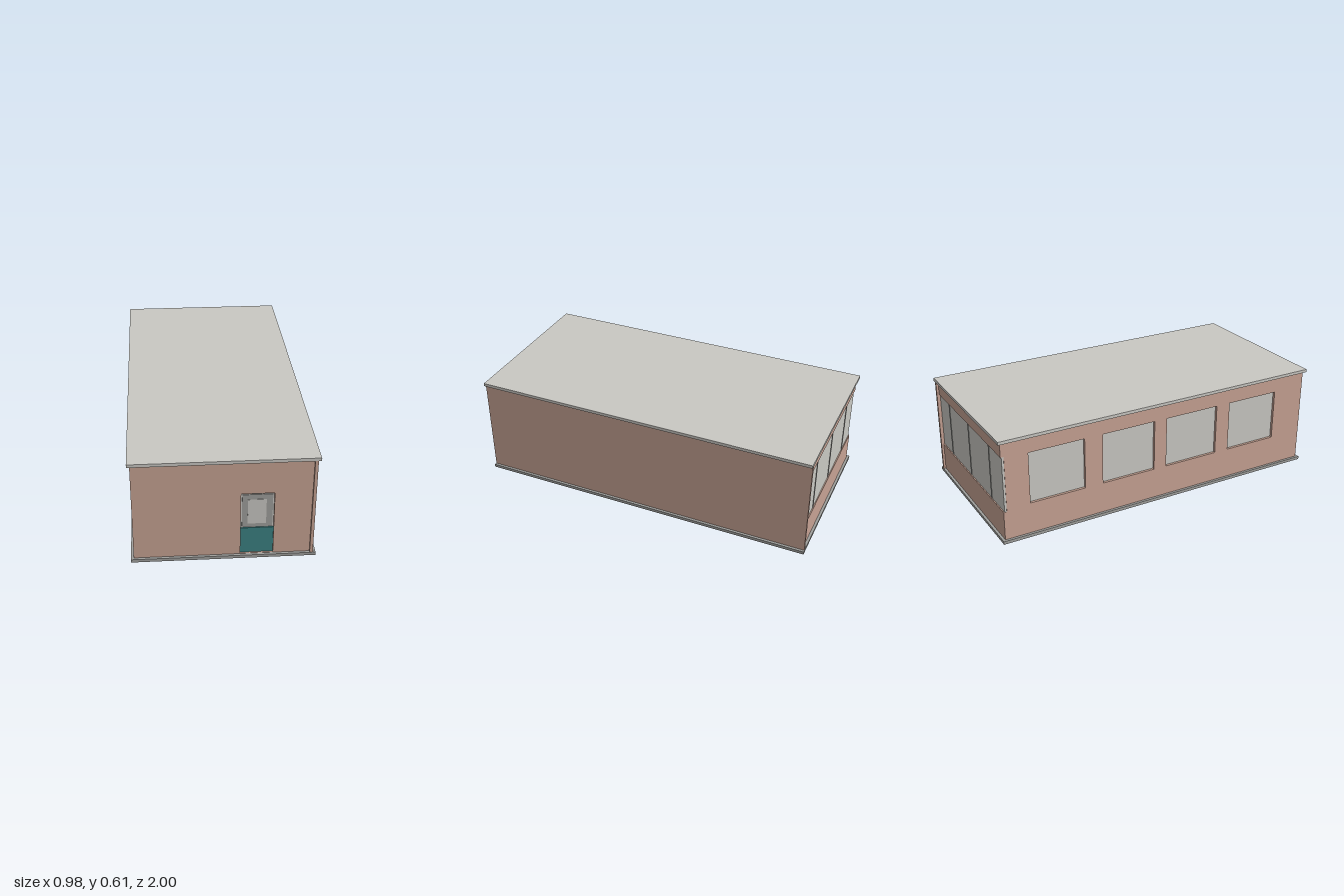
import * as THREE from 'three';

const mat = (name, color) => {
  const m = new THREE.MeshStandardMaterial({ color });
  m.name = name;
  return m;
};

export function createModel() {
  const model = new THREE.Group();
  model.name = 'building';
  const brick = mat('brick', 0xc6a293);
  const pale = mat('paleGrey', 0xc9c8c3);
  const grey = mat('midGrey', 0x9f9f9c);
  const teal = mat('teal', 0x3b8082);

  // Box given by its minimum and maximum on each axis
  const box = (name, m, x0, x1, y0, y1, z0, z1, parent = model) => {
    const mesh = new THREE.Mesh(new THREE.BoxGeometry(x1 - x0, y1 - y0, z1 - z0), m);
    mesh.position.set((x0 + x1) / 2, (y0 + y1) / 2, (z0 + z1) / 2);
    mesh.name = name;
    parent.add(mesh);
    return mesh;
  };

  const rect = (P, x0, x1, y0, y1) => {
    const p = new P();
    p.moveTo(x0, y0).lineTo(x1, y0).lineTo(x1, y1).lineTo(x0, y1).closePath();
    return p;
  };

  // Wall panel with rectangular openings
  const wall = (name, outline, openings, thickness) => {
    const shape = rect(THREE.Shape, ...outline);
    openings.forEach(o => shape.holes.push(rect(THREE.Path, ...o)));
    const mesh = new THREE.Mesh(
      new THREE.ExtrudeGeometry(shape, { depth: thickness, bevelEnabled: false }), brick);
    mesh.name = name;
    model.add(mesh);
    return mesh;
  };

  const floorY = 0.018, roofY = 0.59, out = 0.475, inn = 0.458;

  // Slab and flat roof
  box('floorSlab', grey, -0.49, 0.49, 0, floorY, -1, 1);
  box('roof', pale, -0.49, 0.49, roofY, 0.608, -1, 1);

  // Plain side wall
  box('plainWall', brick, inn, out, floorY, roofY, -0.998, 0.998);

  // Side wall with four recessed windows
  const spans = [[-0.83, -0.5], [-0.39, -0.06], [0.02, 0.36], [0.45, 0.78]];
  const windowWall = wall('windowWall', [-0.967, 0.985, floorY, roofY],
    spans.map(([a, b]) => [a, b, 0.2, 0.5]), out - inn);
  windowWall.rotation.y = -Math.PI / 2;
  windowWall.position.x = -inn;
  spans.forEach(([a, b]) => box('sideWindow', pale, -0.46, -0.454, 0.195, 0.505, a - 0.005, b + 0.005));

  // Front wall with door opening
  const frontWall = wall('frontWall', [-inn, inn, floorY, roofY], [[0.088, 0.262, 0.02, 0.398]], 0.018);
  frontWall.position.z = 0.967;

  // Door: pale frame, grey upper leaf with a pane, teal lower panel
  const door = new THREE.Group();
  door.name = 'door';
  model.add(door);
  box('doorFrame', pale, 0.088, 0.262, floorY, 0.398, 0.96, 0.97, door);
  box('doorLeaf', grey, 0.095, 0.255, 0.182, 0.385, 0.965, 0.974, door);
  box('doorPane', pale, 0.125, 0.222, 0.205, 0.355, 0.972, 0.976, door);
  box('doorPanel', teal, 0.088, 0.262, floorY, 0.178, 0.965, 0.976, door);

  // Back wall: sill, ribbon of four panes with narrow mullions, header
  box('backSill', brick, -out, inn, floorY, 0.185, -0.985, -0.967);
  box('backHeader', brick, -out, inn, 0.51, roofY, -0.985, -0.967);
  const edges = [-0.473, -0.3, 0, 0.3, inn];
  for (let i = 0; i < 4; i++) {
    box('backWindow', pale, edges[i], edges[i + 1], 0.185, 0.51, -0.979, -0.965);
    if (i) box('mullion', grey, edges[i] - 0.003, edges[i] + 0.003, 0.185, 0.51, -0.982, -0.966);
  }
  return model;
}
